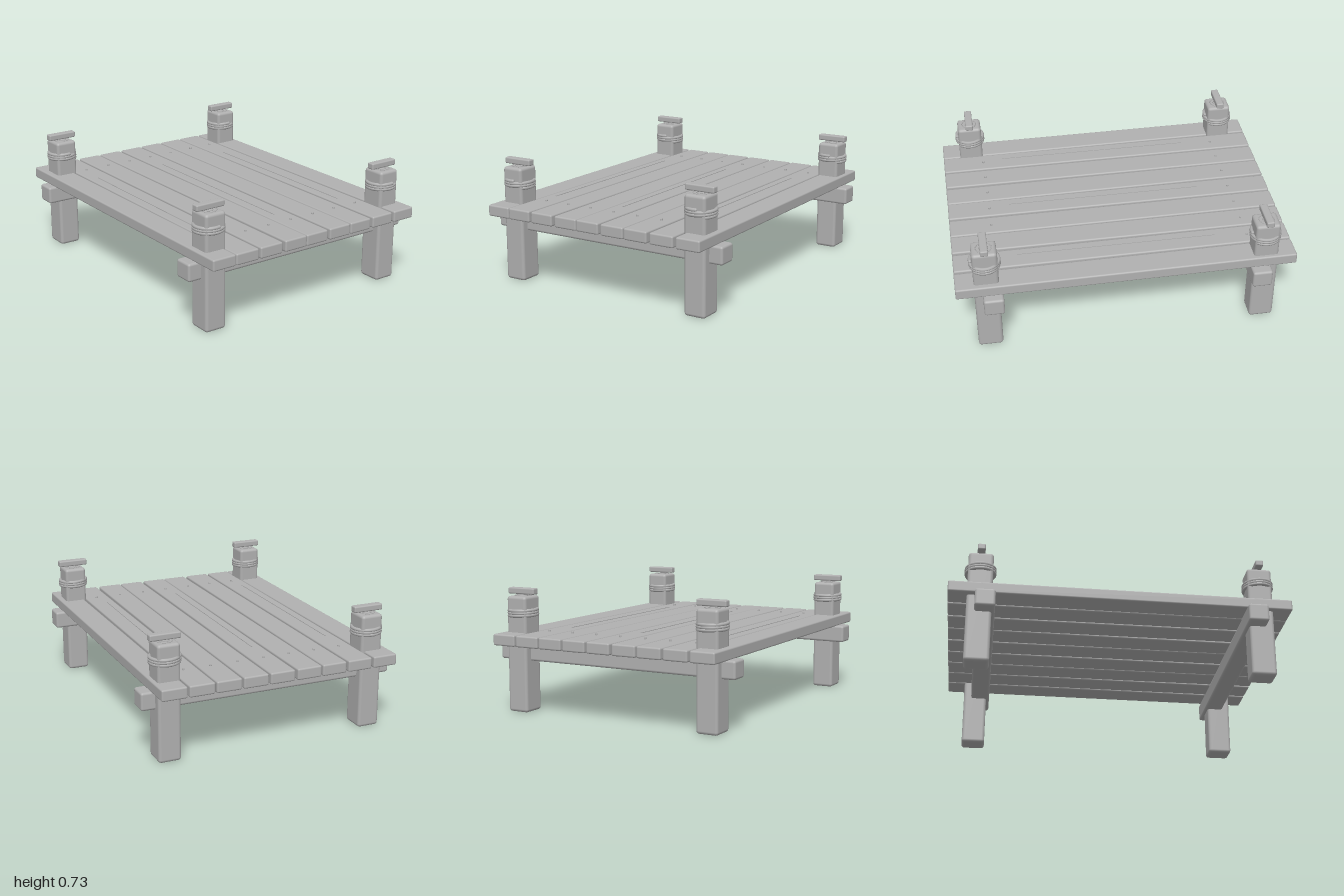
import * as THREE from 'three';
import { RoundedBoxGeometry } from 'three/addons/geometries/RoundedBoxGeometry.js';

export function createModel() {
  const dock = new THREE.Group();
  dock.name = 'dock';
  const grey = new THREE.MeshStandardMaterial({ color: 0xb0b0b0 });
  grey.name = 'weathered grey';

  const add = (parent, name, geometry, x = 0, y = 0, z = 0) => {
    const mesh = new THREE.Mesh(geometry, grey);
    mesh.name = name;
    mesh.position.set(x, y, z);
    parent.add(mesh);
    return mesh;
  };
  const block = (w, h, d, r) => new RoundedBoxGeometry(w, h, d, 2, r);

  // Deck planks: x centre at the back end and at the front end, slightly skewed
  const planks = [
    [-0.656, -0.648], [-0.492, -0.495], [-0.328, -0.331], [-0.169, -0.161], [-0.003, -0.008],
    [0.159, 0.159], [0.32, 0.315], [0.479, 0.484], [0.64, 0.651],
  ];
  const plankGeo = block(0.15, 0.067, 1.99, 0.01);
  const nailGeo = new THREE.CylinderGeometry(0.007, 0.008, 0.012, 8);
  planks.forEach(([back, front], i) => {
    const plank = add(dock, 'plank', plankGeo, (back + front) / 2, 0.4405, 0);
    plank.rotation.y = Math.atan((front - back) / 2);
    if (i === 0 || i === 8) return;
    // One nail over each beam
    for (const z of [-0.747, 0.745]) add(dock, 'nail', nailGeo, (i - 4) * 0.163, 0.477, z);
  });

  // Long thin grain lines on three planks
  for (const x of [-0.512, -0.024, 0.461]) {
    const grain = add(dock, 'grainLine', new THREE.BoxGeometry(0.005, 0.006, 1.18), x, 0.4745, 0.033);
    grain.rotation.y = -0.003;
  }

  // Cross beams under the deck
  for (const z of [-0.782, 0.782]) add(dock, 'beam', block(1.55, 0.106, 0.117, 0.014), 0, 0.358, z);

  // Rope wound almost three times around a post
  const coil = [];
  for (let i = 0; i <= 84; i++) {
    const t = i / 84;
    const a = Math.PI / 4 + t * Math.PI * 2 * 2.9;
    coil.push(new THREE.Vector3(Math.sin(a) * 0.082, 0.567 + t * 0.042, Math.cos(a) * 0.082));
  }
  const ropeGeo = new THREE.TubeGeometry(new THREE.CatmullRomCurve3(coil), 168, 0.0105, 8);
  const ropeEndGeo = new THREE.SphereGeometry(0.0105, 8, 6);

  // Corner posts with rope, end-grain rings and a top bar
  const postGeo = block(0.134, 0.685, 0.145, 0.018);
  const barGeo = block(0.183, 0.037, 0.046, 0.008);
  for (const x of [-0.627, 0.627]) {
    for (const z of [-0.815, 0.815]) {
      const post = new THREE.Group();
      post.name = 'cornerPost';
      post.position.set(x, 0, z);
      dock.add(post);
      add(post, 'post', postGeo, 0, 0.3435, 0);
      add(post, 'rope', ropeGeo);
      for (const p of [coil[0], coil[84]]) add(post, 'ropeEnd', ropeEndGeo, p.x, p.y, p.z);
      for (const r of [0.025, 0.045]) {
        const ring = add(post, 'endGrainRing', new THREE.TorusGeometry(r, 0.003, 6, 24), 0, 0.687, 0);
        ring.rotation.x = Math.PI / 2;
      }
      add(post, 'topBar', barGeo, 0, 0.713, 0);
    }
  }
  return dock;
}
